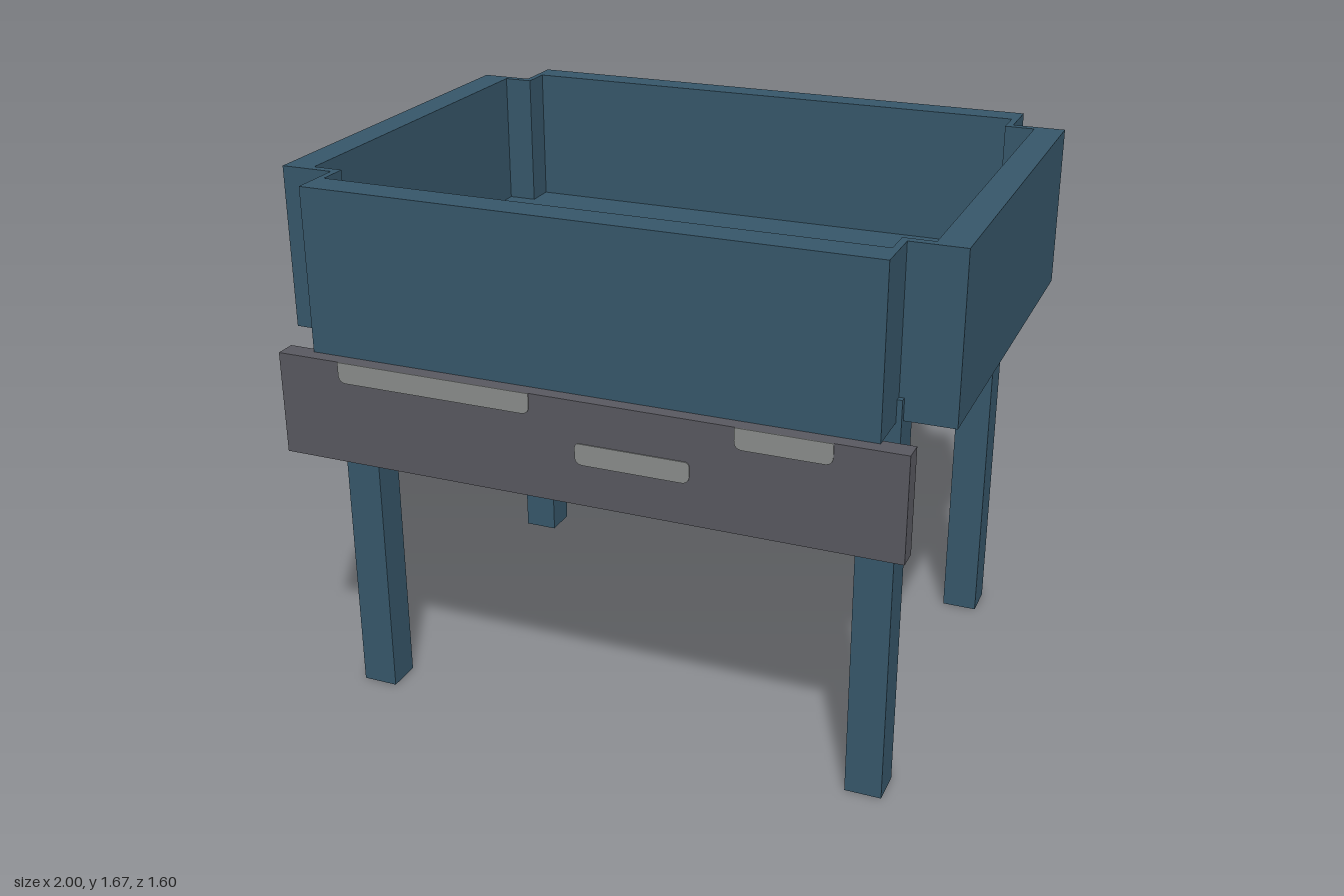
import * as THREE from 'three';

const blue = new THREE.MeshStandardMaterial({ color: 0x365669 });
blue.name = 'slate blue';
const grey = new THREE.MeshStandardMaterial({ color: 0x58585f });
grey.name = 'dark grey';
const pale = new THREE.MeshStandardMaterial({ color: 0x888b8a });
pale.name = 'pale grey';

function add(group, name, geometry, material) {
  const mesh = new THREE.Mesh(geometry, material);
  mesh.name = name;
  group.add(mesh);
  return mesh;
}

// Box given by its minimum and maximum corners
function box(x0, x1, y0, y1, z0, z1) {
  return new THREE.BoxGeometry(x1 - x0, y1 - y0, z1 - z0)
    .translate((x0 + x1) / 2, (y0 + y1) / 2, (z0 + z1) / 2);
}

// Plan outline with square notches at the corners:
// w, b0, b1 bound the side arms, n, z0, z1 the front and back arms
function crossPoints(w, b0, b1, n, z0, z1) {
  return [
    [-n, z1], [n, z1], [n, b1], [w, b1], [w, b0], [n, b0],
    [n, z0], [-n, z0], [-n, b0], [-w, b0], [-w, b1], [-n, b1],
  ].map(([x, z]) => new THREE.Vector2(x, -z));
}

function extrudeUp(shape, y0, y1) {
  return new THREE.ExtrudeGeometry(shape, { depth: y1 - y0, bevelEnabled: false })
    .rotateX(-Math.PI / 2).translate(0, y0, 0);
}

// Flat patch with rounded corners; the top corners may be square
function patchShape(x0, x1, y0, y1, rBottom, rTop) {
  const s = new THREE.Shape();
  s.moveTo(x0 + rBottom, y0);
  s.lineTo(x1 - rBottom, y0);
  s.quadraticCurveTo(x1, y0, x1, y0 + rBottom);
  s.lineTo(x1, y1 - rTop);
  if (rTop) s.quadraticCurveTo(x1, y1, x1 - rTop, y1);
  s.lineTo(x0 + rTop, y1);
  if (rTop) s.quadraticCurveTo(x0, y1, x0, y1 - rTop);
  s.lineTo(x0, y0 + rBottom);
  s.quadraticCurveTo(x0, y0, x0 + rBottom, y0);
  return s;
}

export function createModel() {
  const model = new THREE.Group();
  model.name = 'raisedTray';

  // Tray walls and floor
  const inner = crossPoints(0.91, -0.62, 0.57, 0.82, -0.715, 0.66);
  const wall = new THREE.Shape(crossPoints(1, -0.645, 0.595, 0.84, -0.8, 0.755));
  wall.holes.push(new THREE.Path(inner));
  add(model, 'trayWalls', extrudeUp(wall, 1.18, 1.67), blue);
  add(model, 'trayFloor', extrudeUp(new THREE.Shape(inner), 1.18, 1.25), blue);

  // Four legs, whose tops show in the corner notches
  for (const [side, x] of [['left', 0.745], ['right', -0.855]]) {
    add(model, side + 'FrontLeg', box(x, x + 0.11, 0, 1.245, 0.505, 0.613), blue);
    add(model, side + 'BackLeg', box(x, x + 0.11, 0, 1.245, -0.653, -0.543), blue);
  }

  // Front board with worn patches
  add(model, 'frontBoard', box(-0.93, 0.93, 0.87, 1.18, 0.735, 0.797), grey);
  const patches = [
    [-0.735, -0.135, 1.118, 1.18, 0.025, 0],
    [0.46, 0.73, 1.118, 1.18, 0.025, 0],
    [0, 0.335, 0.993, 1.056, 0.025, 0.015],
  ];
  for (const p of patches) {
    const plate = new THREE.ExtrudeGeometry(patchShape(...p), { depth: 0.004, bevelEnabled: false });
    add(model, 'wornPatch', plate.translate(0, 0, 0.796), pale);
  }
  return model;
}
